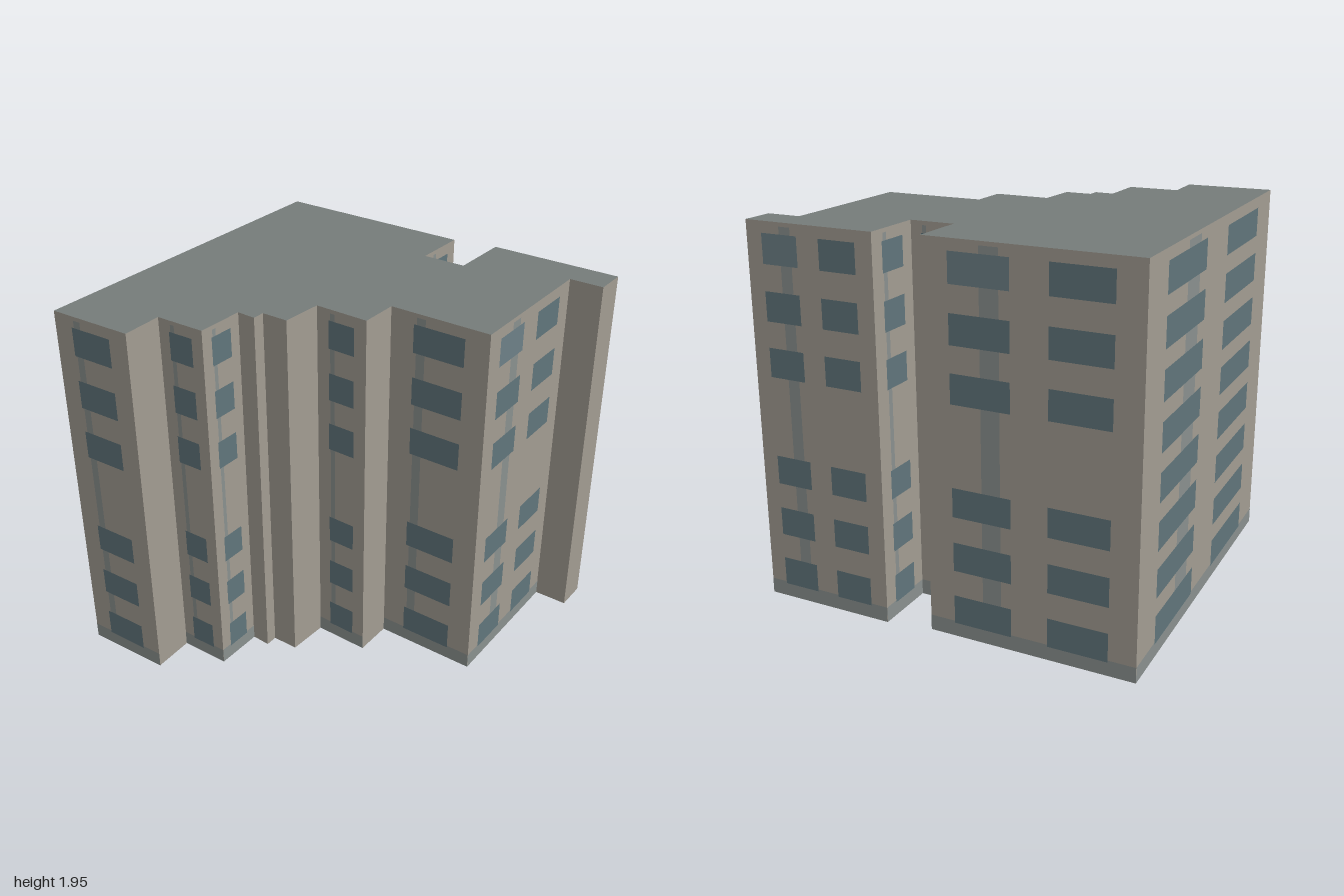
import * as THREE from 'three';
import { mergeGeometries } from 'three/addons/utils/BufferGeometryUtils.js';

const HEIGHT = 1.95;
const BASE = 0.08;

// Footprint corners [x, z], each wall running left to right as seen from outside
const FOOTPRINT = [
  [-0.96, -0.505], [-0.74, -0.515], [-0.735, -0.25], [-0.48, -0.25], [-0.485, -0.15],
  [-0.42, -0.15], [-0.42, -0.01], [-0.2, 0], [-0.205, 0.29], [0, 0.29],
  [0, 0.83], [0.8, 0.82], [0.8, 1], [0.97, 1], [0.97, 0.3],
  [0.64, 0.3], [0.64, 0.07], [0.93, 0.07], [0.93, -1], [-0.975, -0.96],
];

const paint = (color, side = THREE.FrontSide) => new THREE.MeshStandardMaterial({ color, side });

// Flat panel from (x0, y0) to (x1, y1), lying just in front of the wall
function panel(x0, x1, y0, y1, offset) {
  return new THREE.PlaneGeometry(x1 - x0, y1 - y0).translate((x0 + x1) / 2, (y0 + y1) / 2, offset);
}

function named(name, geometry, material) {
  const mesh = new THREE.Mesh(geometry, material);
  mesh.name = name;
  return mesh;
}

export function createModel() {
  const group = new THREE.Group();
  group.name = 'apartmentBlock';
  const wallMat = paint(0xa29c92, THREE.DoubleSide);
  const roofMat = paint(0x767c7a, THREE.DoubleSide);
  const trimMat = paint(0x8a908e);
  const glassMat = paint(0x60757b);
  const paleGlassMat = paint(0x6d8087);

  FOOTPRINT.forEach(([x, z], i) => {
    const [nx, nz] = FOOTPRINT[(i + 1) % FOOTPRINT.length];
    const length = Math.hypot(nx - x, nz - z);
    const facade = new THREE.Group();
    facade.name = 'facade';
    facade.position.set(x, 0, z);
    facade.rotation.y = Math.atan2(z - nz, nx - x);
    facade.add(named('wall', panel(0, length, 0, HEIGHT, 0), wallMat));
    group.add(facade);
    if (length < 0.225) return; // short returns stay blank

    // Plinth band and vertical strip
    facade.add(named('plinth', panel(0, length, 0, BASE, 0.001), trimMat));
    facade.add(named('strip', panel(0.27 * length, 0.36 * length, BASE, 1.93, 0.001), trimMat));

    // Window grid: the widest wall has eight full rows, the others skip the middle of seven
    const columns = length > 0.6 ? [[0.125, 0.41], [0.585, 0.87]] : [[0.24, 0.76]];
    const rows = length > 1.5 ? 8 : 7;
    const panes = [];
    for (let r = 0; r < rows; r++) {
      if (rows === 7 && r === 3) continue;
      const y = 0.07 + (r * 1.675) / (rows - 1);
      columns.forEach(([u0, u1], c) => {
        const pane = panel(u0 * length, u1 * length, y, y + 0.148, 0.002);
        if (rows === 7 && columns.length === 2 && c === 0 && r === 6) {
          facade.add(named('paleWindow', pane, paleGlassMat));
        } else panes.push(pane);
      });
    }
    facade.add(named('windows', mergeGeometries(panes), glassMat));
  });

  // Flat roof; the underside of the building is open
  const outline = new THREE.Shape(FOOTPRINT.map(([x, z]) => new THREE.Vector2(x, -z)));
  const roof = new THREE.ShapeGeometry(outline).rotateX(-Math.PI / 2).translate(0, HEIGHT, 0);
  group.add(named('roof', roof, roofMat));
  return group;
}
